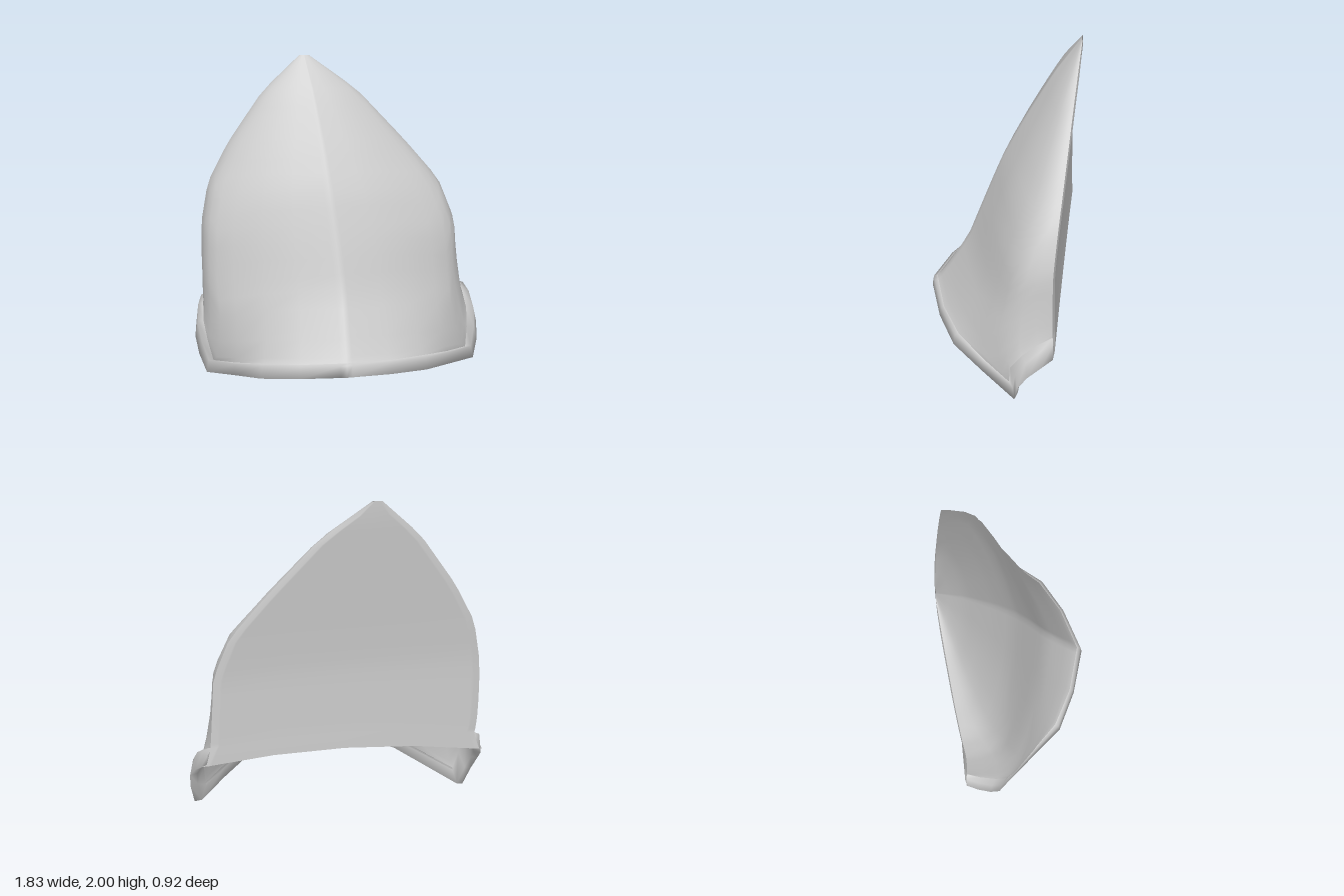
import * as THREE from 'three';

const material = new THREE.MeshStandardMaterial({ color: 0xcccccc, side: THREE.DoubleSide });
const lerp = THREE.MathUtils.lerp;
const V = (x, y, z) => new THREE.Vector3(x, y, z);

// Horizontal sections: y, right edge x, left edge x, ridge x, ridge z, edge z
const sections = [
  [0.15, -0.84, 0.82, 0.01, 0.43, -0.39],
  [0.40, -0.86, 0.81, 0.00, 0.31, -0.39],
  [0.63, -0.875, 0.785, -0.01, 0.20, -0.385],
  [0.95, -0.865, 0.765, -0.04, 0.09, -0.38],
  [1.20, -0.82, 0.665, -0.07, 0.00, -0.395],
  [1.45, -0.69, 0.45, -0.10, -0.12, -0.415],
  [1.78, -0.46, 0.14, -0.15, -0.30, -0.44],
  [2.00, -0.225, -0.165, -0.195, -0.455, -0.46],
];

// Stations from the ridge outward: width fraction, and depth fraction low and high on the wall
const across = [0, 0.04, 0.31, 0.55, 0.76, 0.88, 0.94, 0.975, 0.992, 1];
const depthLow = [0, 0.016, 0.12, 0.235, 0.375, 0.49, 0.58, 0.68, 0.82, 1];
const depthHigh = [0, 0.016, 0.125, 0.25, 0.43, 0.57, 0.68, 0.79, 0.9, 1];
const LAST = across.length - 1;

// Foot of the wall and outer lower edge of the lip, at the same stations
const foot = [[0, 0.24, 0.42], [0.036, 0.238, 0.41], [0.28, 0.225, 0.34], [0.5, 0.21, 0.22], [0.675, 0.17, 0.04],
  [0.82, 0.14, -0.13], [0.83, 0.27, -0.14], [0.835, 0.38, -0.21], [0.82, 0.47, -0.31], [0.795, 0.51, -0.39]];
const lipEdge = [[0, 0.16, 0.455], [0.036, 0.158, 0.444], [0.28, 0.145, 0.37], [0.515, 0.125, 0.25], [0.7, 0.09, 0.045],
  [0.88, 0.05, -0.17], [0.905, 0.17, -0.19], [0.91, 0.27, -0.25], [0.89, 0.34, -0.33], [0.86, 0.39, -0.4]];

// Mirror a station; the right side hangs lower and leans outward at its end
function station(list, s) {
  const k = Math.abs(s), [x, y, z] = list[k];
  if (s >= 0) return V(x, y, z);
  const lean = k > 3 ? 0.03 - (y - 0.05) * 0.18 : 0;
  return V(lean - x, y - 0.05 * x / 0.88, z);
}

function sectionAt(y) {
  let i = 0;
  while (i < sections.length - 2 && y > sections[i + 1][0]) i++;
  const a = sections[i], b = sections[i + 1];
  const t = THREE.MathUtils.clamp((y - a[0]) / (b[0] - a[0]), 0, 1);
  return a.map((n, k) => lerp(n, b[k], t));
}

// Point on the front wall: sections above, easing into the foot curve below
function wallPoint(s, v) {
  const base = station(foot, s), k = Math.abs(s);
  const y = lerp(base.y, 2, v);
  const [, xr, xl, xm, zm, ze] = sectionAt(y);
  const depth = lerp(depthLow[k], depthHigh[k], THREE.MathUtils.smoothstep(y, 0.9, 1.4));
  const p = V(lerp(xm, s < 0 ? xr : xl, across[k]), y, lerp(zm, ze, depth));
  return p.lerp(base, Math.max(0, 1 - (y - base.y) / 0.3));
}

// Smooth surface through rows of points
function surface(name, rows) {
  const n = rows[0].length, index = [];
  for (let j = 0; j < rows.length - 1; j++) {
    for (let i = 0; i < n - 1; i++) {
      const a = j * n + i, b = a + 1, c = b + n, d = a + n;
      index.push(a, b, c, a, c, d);
    }
  }
  const geometry = new THREE.BufferGeometry().setFromPoints(rows.flat());
  geometry.setIndex(index);
  geometry.computeVertexNormals();
  const mesh = new THREE.Mesh(geometry, material);
  mesh.name = name;
  return mesh;
}

export function createModel() {
  const group = new THREE.Group();
  group.name = 'pointedShell';
  const stations = Array.from({ length: 2 * LAST + 1 }, (_, i) => i - LAST);
  const heights = Array.from({ length: 19 }, (_, i) => i / 18);

  // Curved, ridged front wall
  group.add(surface('frontWall', heights.map(v => stations.map(s => wallPoint(s, v)))));

  // Rolled lip around the open bottom: inner foot, inner edge, outer edge, shoulder, foot
  const profiles = stations.map(s => {
    const w = station(foot, s), o = station(lipEdge, s);
    const forward = 1 - Math.abs(s) / LAST;
    const shoulder = V(lerp(w.x, o.x, 0.7), lerp(w.y, o.y, 0.1), lerp(w.z, o.z, 0.7));
    const innerEdge = V(o.x * 0.95, o.y + 0.015, o.z - 0.04 * forward);
    const innerFoot = V(w.x * 0.98, w.y, w.z - 0.02 * forward);
    return [innerFoot, innerEdge, o, shoulder, w];
  });
  // Close both lip ends
  const collapse = p => {
    const c = p.reduce((sum, q) => sum.add(q), V(0, 0, 0)).divideScalar(p.length);
    return p.map(() => c.clone());
  };
  profiles.unshift(collapse(profiles[0]));
  profiles.push(collapse(profiles[profiles.length - 1]));
  group.add(surface('bottomLip', [0, 1, 2, 3, 4].map(k => profiles.map(p => p[k]))));

  // Flat back panel with a narrow bevel along its sides and an arched lower edge
  const backRow = (r, l, arch) => {
    const inset = Math.min(0.04, (l.x - r.x) * 0.25) / (l.x - r.x);
    const stops = [1, 1 - inset, 1 - inset * 1.3, 0.75, 0.5, 0.25, inset * 1.3, inset, 0];
    return stops.map((t, i) => {
      const p = r.clone().lerp(l, t);
      p.y += arch * 4 * t * (1 - t);
      if (i > 0 && i < 8) p.z -= Math.min(0.01, 0.46 + p.z);
      return p;
    });
  };
  const rows = heights.map(v => backRow(wallPoint(-LAST, v), wallPoint(LAST, v), 0.06 * (1 - v) ** 3));
  rows.unshift(backRow(V(-0.9, 0.35, -0.395), V(0.85, 0.39, -0.395), 0.07));
  group.add(surface('backPanel', rows));

  return group;
}
